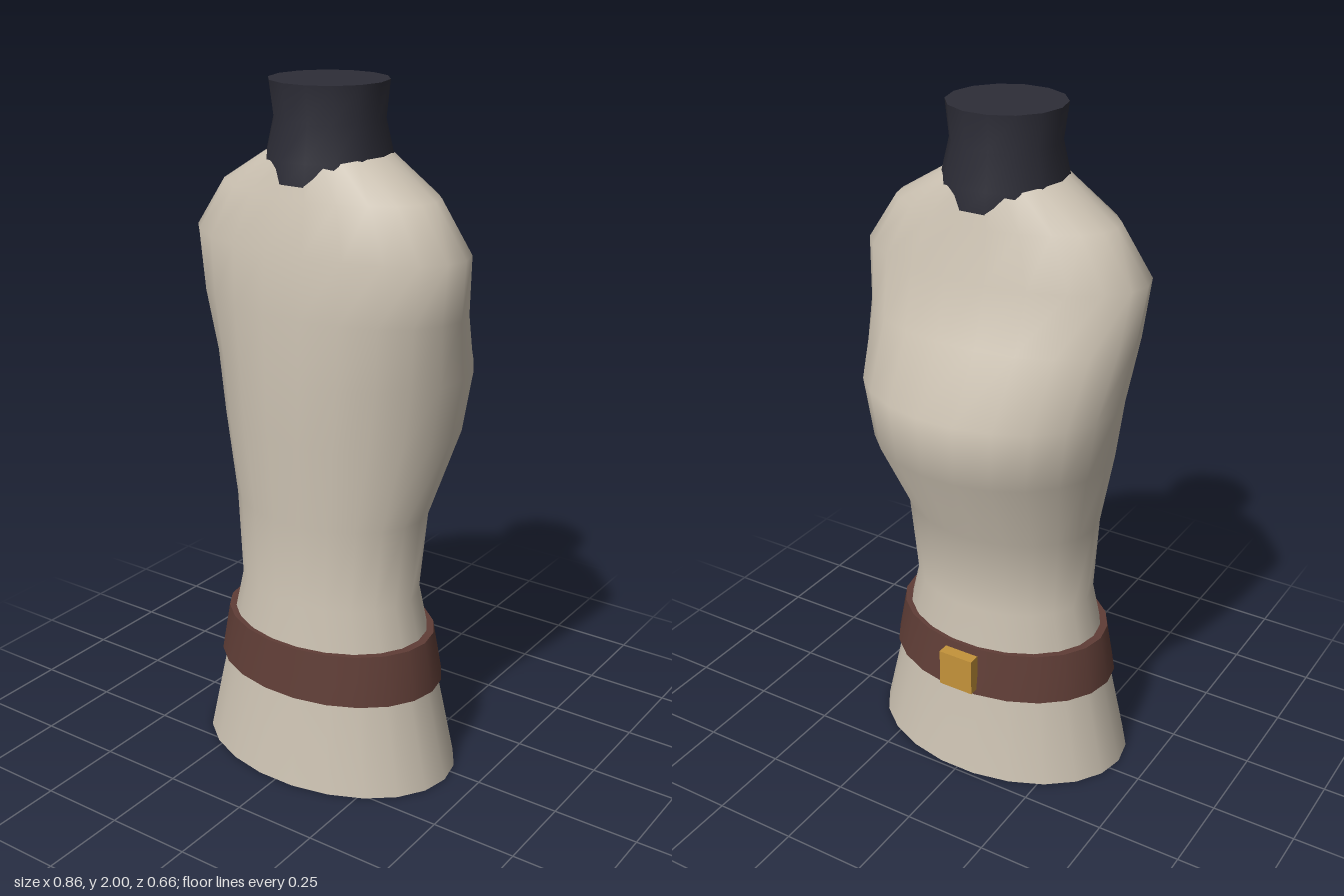
import * as THREE from 'three';

const mat = (name, color, side = THREE.FrontSide) => {
  const m = new THREE.MeshStandardMaterial({ color, side });
  m.name = name;
  return m;
};

// Smooth elliptical loft with flat end caps.
// Each ring is [y, half width, z at front, z at back].
function loft(name, rings, sides, material) {
  const pos = [];
  const index = [];
  const addRing = ([y, hx, zf, zb]) => {
    const start = pos.length / 3;
    for (let i = 0; i < sides; i++) {
      const t = (i / sides) * Math.PI * 2;
      pos.push(hx * Math.cos(t), y, (zf + zb) / 2 + ((zf - zb) / 2) * Math.sin(t) / Math.cos(Math.PI / 2 / sides));
    }
    return start;
  };

  // Side wall
  const starts = rings.map(addRing);
  for (let r = 0; r < rings.length - 1; r++) {
    for (let i = 0; i < sides; i++) {
      const k = (i + 1) % sides;
      const a = starts[r] + i, b = starts[r] + k;
      const c = starts[r + 1] + i, d = starts[r + 1] + k;
      index.push(a, c, b, b, c, d);
    }
  }

  // Caps have their own vertices so the rims stay sharp
  const bottom = addRing(rings[0]);
  const top = addRing(rings[rings.length - 1]);
  for (let i = 1; i < sides - 1; i++) {
    index.push(bottom, bottom + i, bottom + i + 1);
    index.push(top, top + i + 1, top + i);
  }

  const geo = new THREE.BufferGeometry();
  geo.setAttribute('position', new THREE.Float32BufferAttribute(pos, 3));
  geo.setIndex(index);
  geo.computeVertexNormals();
  const mesh = new THREE.Mesh(geo, material);
  mesh.name = name;
  return mesh;
}

export function createModel() {
  const group = new THREE.Group();
  group.name = 'torso';

  const cloth = mat('cream cloth', 0xcdc3b3);
  const collar = mat('dark navy', 0x2d2d37);
  const leather = mat('brown leather', 0x5f3d36);
  const brass = mat('brass', 0xc4933a);

  // Tunic: flared hem, narrow waist, chest swelling toward -z, sloped shoulders
  group.add(loft('tunic', [
    [0, 0.41, 0.33, -0.24],
    [0.55, 0.28, 0.26, -0.17],
    [0.8, 0.3, 0.26, -0.19],
    [1.04, 0.36, 0.275, -0.315],
    [1.22, 0.388, 0.275, -0.33],
    [1.4, 0.41, 0.275, -0.22],
    [1.57, 0.43, 0.262, -0.17],
    [1.71, 0.335, 0.227, -0.137],
    [1.81, 0.172, 0.202, -0.115],
  ], 22, cloth));

  // Neck: pinched in the middle, sunk into the collar opening
  group.add(loft('neck', [
    [1.73, 0.172, 0.222, -0.132],
    [1.8, 0.174, 0.216, -0.13],
    [1.9, 0.151, 0.196, -0.108],
    [2, 0.164, 0.206, -0.113],
  ], 14, collar));

  // Belt: tapered band around the hips
  group.add(loft('belt', [
    [0.28, 0.36, 0.306, -0.217],
    [0.43, 0.332, 0.288, -0.197],
  ], 22, leather));

  // Buckle on the chest side
  const buckle = new THREE.Mesh(new THREE.BoxGeometry(0.11, 0.115, 0.035), brass);
  buckle.name = 'buckle';
  buckle.position.set(0, 0.355, -0.222);
  group.add(buckle);

  return group;
}
